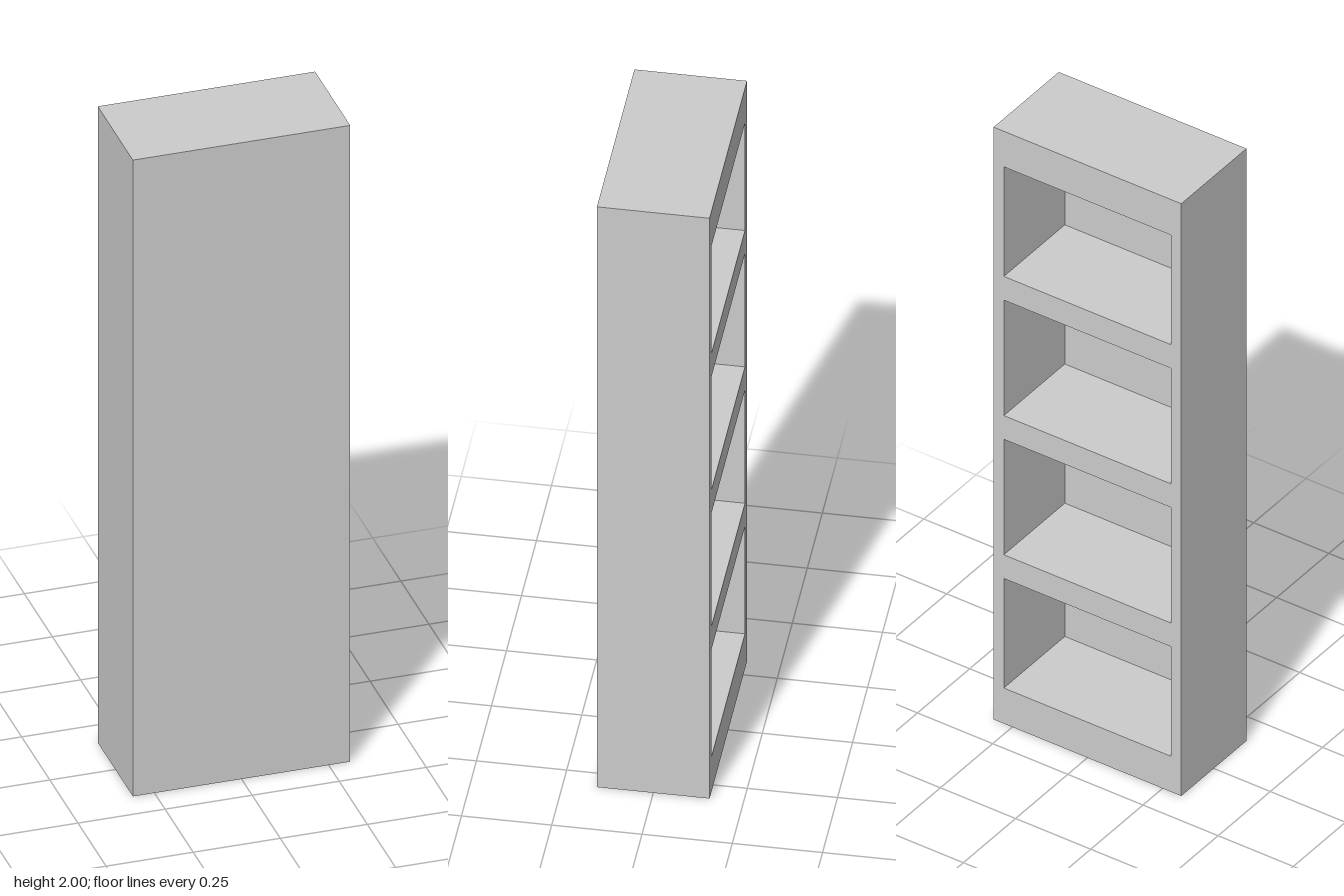
import * as THREE from 'three';

const WIDTH = 0.624, HEIGHT = 2, DEPTH = 0.312;
const PANEL = 0.02; // thickness of the closed front
const SIDE = 0.034; // thickness of the side walls
const OPENINGS = [[0.12, 0.49], [0.57, 0.96], [1.04, 1.43], [1.51, 1.88]]; // bottom and top of each bay

function rectangle(PathType, halfWidth, y0, y1) {
  return new PathType([
    new THREE.Vector2(-halfWidth, y0), new THREE.Vector2(halfWidth, y0),
    new THREE.Vector2(halfWidth, y1), new THREE.Vector2(-halfWidth, y1),
  ]);
}

export function createModel() {
  const group = new THREE.Group();
  group.name = 'bookcase';
  const material = new THREE.MeshStandardMaterial({ color: 0xcccccc, flatShading: true });

  // Side walls and shelves: one frame with four bays open to the back
  const outline = rectangle(THREE.Shape, WIDTH / 2, 0, HEIGHT);
  for (const [y0, y1] of OPENINGS) {
    outline.holes.push(rectangle(THREE.Path, WIDTH / 2 - SIDE, y0, y1));
  }
  const frame = new THREE.Mesh(
    new THREE.ExtrudeGeometry(outline, { depth: DEPTH - PANEL, bevelEnabled: false }), material);
  frame.name = 'shelfFrame';
  frame.position.z = -DEPTH / 2;
  group.add(frame);

  // Thin panel closing the front
  const panel = new THREE.Mesh(new THREE.BoxGeometry(WIDTH, HEIGHT, PANEL), material);
  panel.name = 'frontPanel';
  panel.position.set(0, HEIGHT / 2, DEPTH / 2 - PANEL / 2);
  group.add(panel);

  return group;
}
